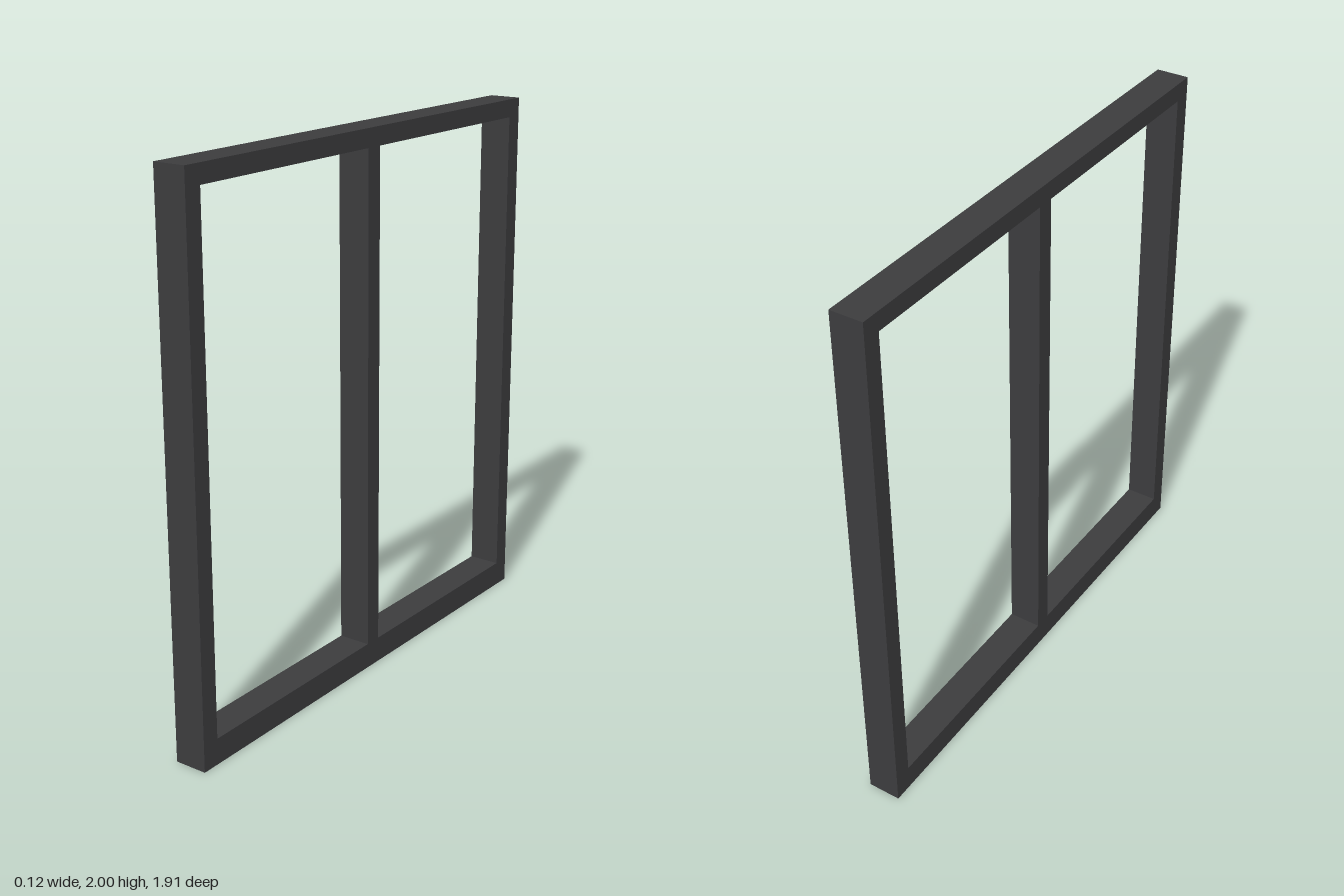
import * as THREE from 'three';

const DEPTH = 0.122;   // along x
const HALF = 0.953;    // half width along z
const HEIGHT = 2;
const BAR = 0.067;     // stile, mullion and top rail thickness
const SILL = 0.095;    // bottom rail height

export function createModel() {
  const group = new THREE.Group();
  group.name = 'windowFrame';
  const darkGrey = new THREE.MeshStandardMaterial({ color: 0x3c3c3e });
  darkGrey.name = 'darkGrey';

  const bar = (name, y0, y1, z0, z1) => {
    const mesh = new THREE.Mesh(new THREE.BoxGeometry(DEPTH, y1 - y0, z1 - z0), darkGrey);
    mesh.name = name;
    mesh.position.set(0, (y0 + y1) / 2, (z0 + z1) / 2);
    group.add(mesh);
  };

  // Horizontal rails fit between the full-height stiles
  const inner = HALF - BAR;
  bar('bottomRail', 0, SILL, -inner, inner);
  bar('topRail', HEIGHT - BAR, HEIGHT, -inner, inner);

  // Outer stiles
  bar('frontStile', 0, HEIGHT, inner, HALF);
  bar('backStile', 0, HEIGHT, -HALF, -inner);

  // Central mullion between the rails
  bar('mullion', SILL, HEIGHT - BAR, -BAR / 2, BAR / 2);

  return group;
}
